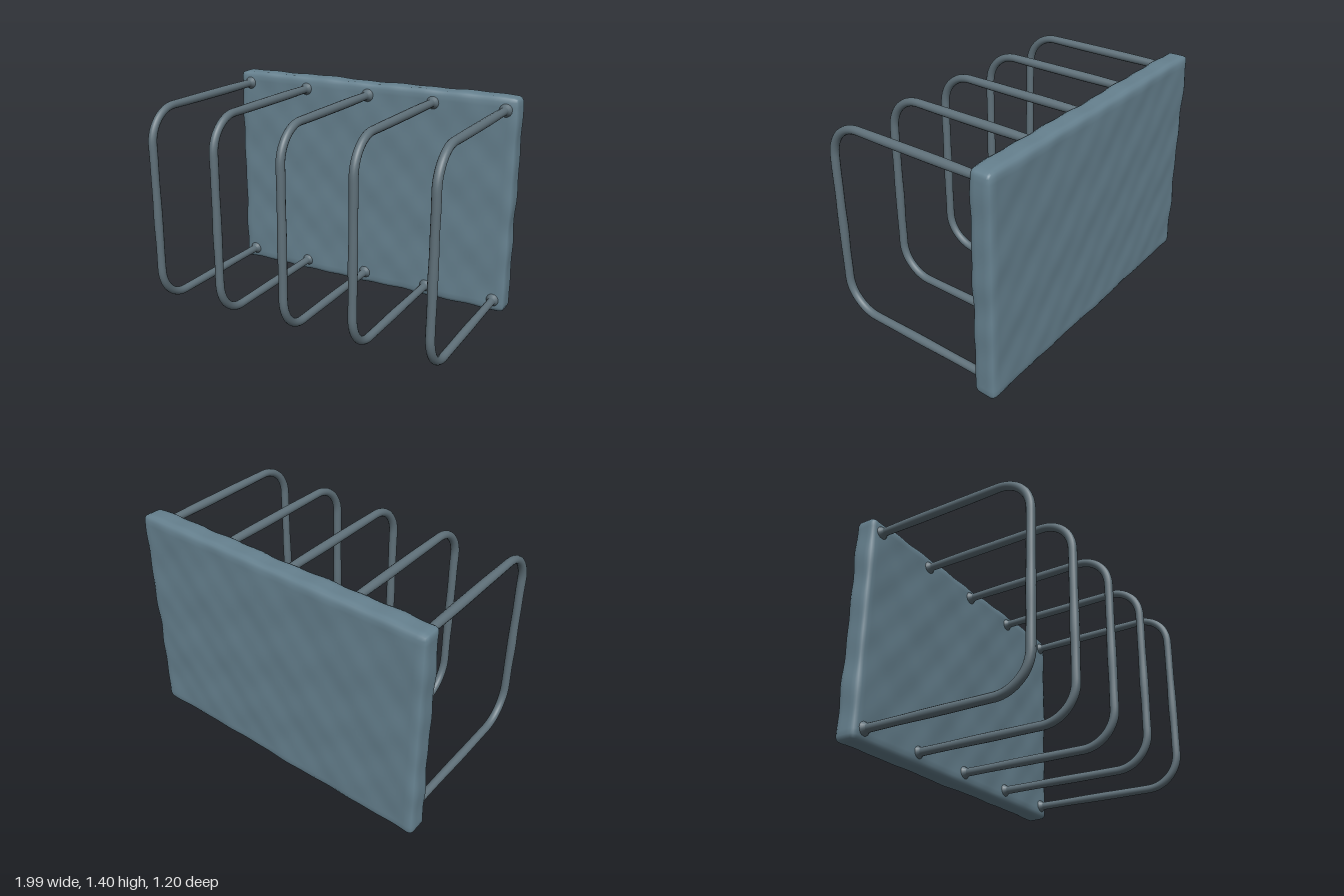
import * as THREE from 'three';
import { mergeVertices } from 'three/addons/utils/BufferGeometryUtils.js';

const BACK_Z = -0.52, FRONT_Z = 0.577, PLATE_FACE = -0.452;
const TOP_Y = 1.325, BOTTOM_Y = 0.095, BEND = 0.21, ROD = 0.0265;

// Gentle hand-worked unevenness
const ripple = (x, y, z) =>
  Math.sin(9 * x + 4 * y + 2) * Math.sin(11 * y - 3 * x + 7 * z) +
  0.6 * Math.sin(27 * x + 5 * z) * Math.sin(23 * y + 1 + 9 * z);

// Displaces a welded geometry along its normals
function roughen(geometry, amount) {
  geometry.deleteAttribute('uv');
  geometry.deleteAttribute('normal');
  const g = mergeVertices(geometry, 1e-4);
  g.computeVertexNormals();
  const p = g.attributes.position, n = g.attributes.normal;
  for (let i = 0; i < p.count; i++) {
    const d = amount * ripple(p.getX(i), p.getY(i), p.getZ(i));
    p.setXYZ(i, p.getX(i) + n.getX(i) * d, p.getY(i) + n.getY(i) * d, p.getZ(i) + n.getZ(i) * d);
  }
  g.computeVertexNormals();
  return g;
}

// Thick slab with softened edges
function plateGeometry(w, h, d, r) {
  const g = new THREE.BoxGeometry(w, h, d, 66, 46, 6);
  const p = g.attributes.position;
  const inner = new THREE.Vector3(w / 2 - r, h / 2 - r, d / 2 - r);
  const low = inner.clone().negate();
  const v = new THREE.Vector3(), c = new THREE.Vector3();
  for (let i = 0; i < p.count; i++) {
    v.fromBufferAttribute(p, i);
    c.copy(v).clamp(low, inner);
    v.sub(c).setLength(r).add(c);
    p.setXYZ(i, v.x, v.y, v.z);
  }
  return roughen(g, 0.004);
}

// Bent rod running out of the plate, down the front and back in
function hoopGeometry() {
  const path = new THREE.CurvePath();
  const at = (y, z) => new THREE.Vector3(0, y, z);
  const k = BEND * 0.4477;
  const z1 = FRONT_Z - BEND;
  path.add(new THREE.LineCurve3(at(TOP_Y, BACK_Z), at(TOP_Y, z1)));
  path.add(new THREE.CubicBezierCurve3(at(TOP_Y, z1), at(TOP_Y, FRONT_Z - k),
    at(TOP_Y - k, FRONT_Z), at(TOP_Y - BEND, FRONT_Z)));
  path.add(new THREE.LineCurve3(at(TOP_Y - BEND, FRONT_Z), at(BOTTOM_Y + BEND, FRONT_Z)));
  path.add(new THREE.CubicBezierCurve3(at(BOTTOM_Y + BEND, FRONT_Z), at(BOTTOM_Y + k, FRONT_Z),
    at(BOTTOM_Y, FRONT_Z - k), at(BOTTOM_Y, z1)));
  path.add(new THREE.LineCurve3(at(BOTTOM_Y, z1), at(BOTTOM_Y, BACK_Z)));
  return roughen(new THREE.TubeGeometry(path, 160, ROD, 14, false), 0.0015);
}

// Small flare where a rod meets the plate
function flareGeometry() {
  const profile = [[0.044, -0.01], [0.04, 0.002], [0.031, 0.012], [0.025, 0.028]]
    .map(([r, y]) => new THREE.Vector2(r, y));
  return new THREE.LatheGeometry(profile, 16).rotateX(Math.PI / 2);
}

export function createModel() {
  const model = new THREE.Group();
  model.name = 'wallRack';
  const plateMat = new THREE.MeshStandardMaterial({ color: 0x66818f });
  const rodMat = new THREE.MeshStandardMaterial({ color: 0x5f7079 });

  const plate = new THREE.Mesh(plateGeometry(1.975, 1.385, 0.138, 0.03), plateMat);
  plate.name = 'backPlate';
  plate.position.set(-0.008, 0.711, BACK_Z);
  model.add(plate);

  const hoop = hoopGeometry(), flare = flareGeometry();
  [-0.915, -0.463, -0.01, 0.442, 0.905].forEach((x, i) => {
    const group = new THREE.Group();
    group.name = `hoop${i + 1}`;
    group.position.x = x;
    const rod = new THREE.Mesh(hoop, rodMat);
    rod.name = 'bentRod';
    group.add(rod);
    for (const y of [TOP_Y, BOTTOM_Y]) {
      const collar = new THREE.Mesh(flare, rodMat);
      collar.name = 'rodFlare';
      collar.position.set(0, y, PLATE_FACE);
      group.add(collar);
    }
    model.add(group);
  });
  return model;
}
